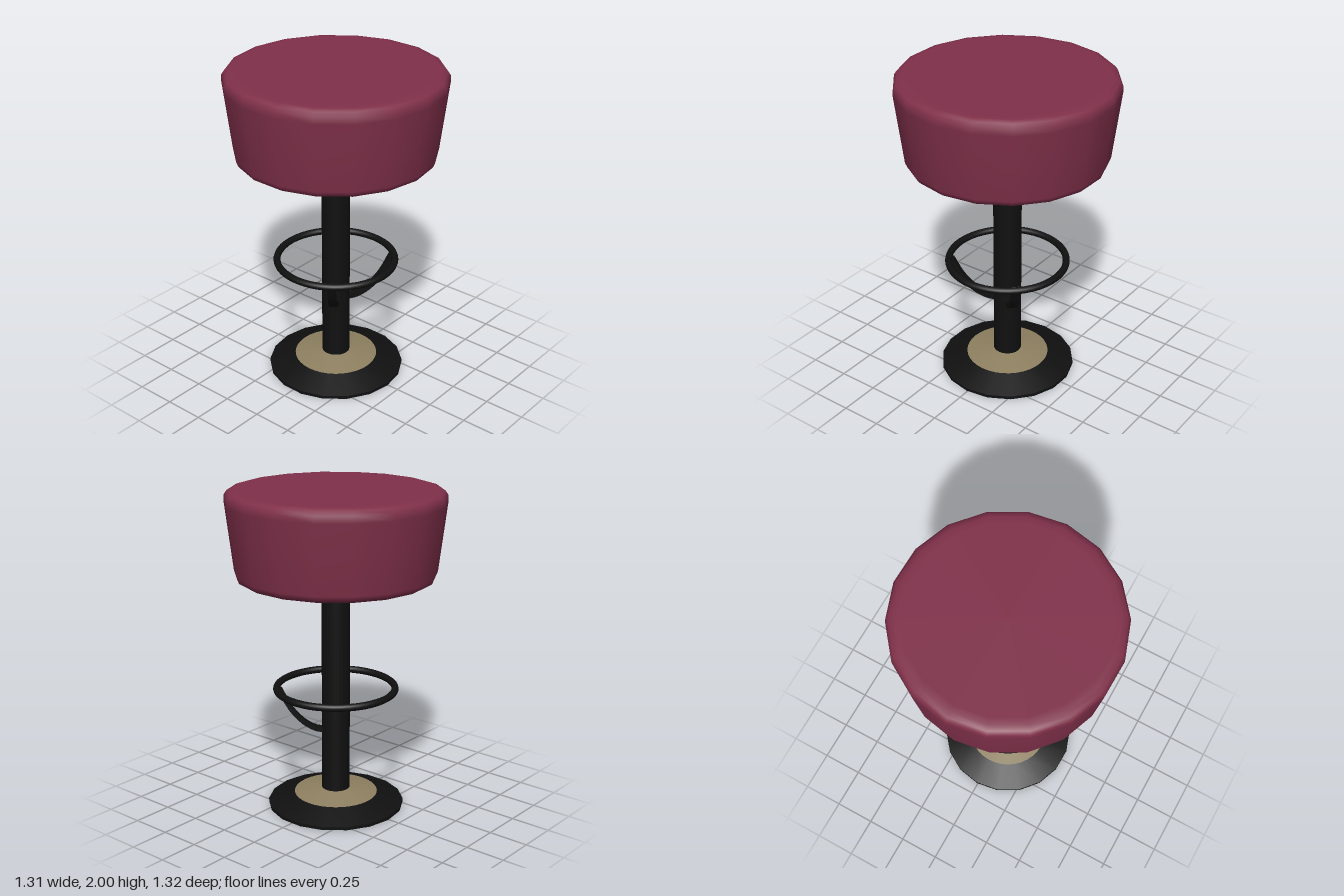
import * as THREE from 'three';

const paint = (name, color) => {
  const m = new THREE.MeshStandardMaterial({ color });
  m.name = name;
  return m;
};

export function createModel() {
  const group = new THREE.Group();
  const plum = paint('plum upholstery', 0x80304a);
  const black = paint('black metal', 0x101011);
  const brass = paint('dull brass', 0x8f8161);

  const add = (name, geometry, material) => {
    const mesh = new THREE.Mesh(geometry, material);
    mesh.name = name;
    group.add(mesh);
    return mesh;
  };
  const lathe = (points, sides) =>
    new THREE.LatheGeometry(points.map(([r, y]) => new THREE.Vector2(r, y)), sides, -0.015);

  // Tapered cushion with rounded rims
  add('seat', lathe([
    [0, 1.46], [0.54, 1.46], [0.575, 1.462], [0.598, 1.475], [0.61, 1.505],
    [0.635, 1.71], [0.661, 1.925], [0.659, 1.965], [0.642, 1.99], [0.61, 2], [0.57, 2], [0, 2],
  ], 18), plum);

  // Central column
  const post = add('post', new THREE.CylinderGeometry(0.087, 0.087, 1.38, 24, 1, true), black);
  post.position.y = 0.78;

  // Foot: vertical rim, shallow cone, brass collar and flat underside
  add('baseRim', lathe([[0.424, 0], [0.424, 0.02]], 18), black);
  add('baseSlope', lathe([[0.424, 0.02], [0.26, 0.077]], 18), black);
  add('baseCollar', lathe([[0.26, 0.077], [0.08, 0.106]], 36), brass);
  add('baseUnderside', lathe([[0, 0], [0.424, 0]], 18), black);

  // Foot ring
  const ring = add('footRing', new THREE.TorusGeometry(0.365, 0.022, 10, 48), black);
  ring.rotation.x = Math.PI / 2;
  ring.position.y = 0.765;

  // Two curved flat bars carry the ring at the front
  const path = new THREE.CatmullRomCurve3(
    [[0.05, 0.493], [0.12, 0.503], [0.2, 0.55], [0.28, 0.64], [0.345, 0.765]]
      .map(([r, y]) => new THREE.Vector3(r, y, 0)));
  const upper = [], lower = [];
  for (let i = 0; i <= 12; i++) {
    const p = path.getPoint(i / 12), t = path.getTangent(i / 12);
    upper.push(new THREE.Vector2(p.x - t.y * 0.014, p.y + t.x * 0.014));
    lower.push(new THREE.Vector2(p.x + t.y * 0.014, p.y - t.x * 0.014));
  }
  const bar = new THREE.ExtrudeGeometry(new THREE.Shape([...lower, ...upper.reverse()]),
    { depth: 0.05, bevelEnabled: false });
  bar.translate(0, 0, -0.025);
  [['leftBracket', 45], ['rightBracket', 145]].forEach(([name, degrees]) => {
    add(name, bar, black).rotation.y = -THREE.MathUtils.degToRad(degrees);
  });

  return group;
}
